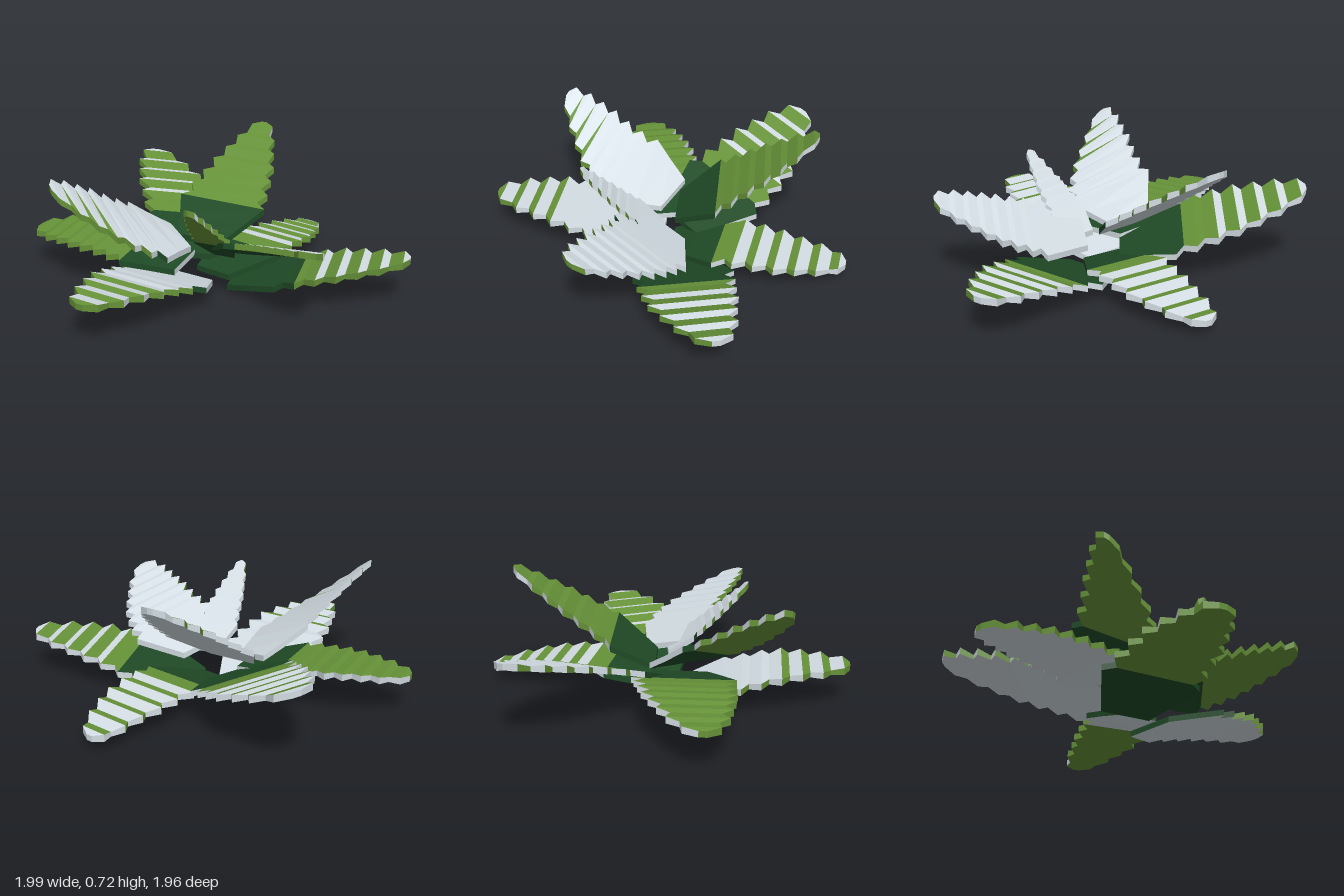
import * as THREE from 'three';

const leafGreen = new THREE.MeshStandardMaterial({ color: 0x669238 });
leafGreen.name = 'leaf green';
const deepGreen = new THREE.MeshStandardMaterial({ color: 0x1f4a26 });
deepGreen.name = 'deep green base';
const paleBack = new THREE.MeshStandardMaterial({ color: 0xd3dde3 });
paleBack.name = 'pale back';
const MATERIALS = [leafGreen, deepGreen, paleBack];

const HALF_THICK = 0.016;
const TOOTH_DEPTH = 0.22; // share of the leaf's half width

// Width along a leaf: narrow foot, broad shoulder, tapering tip
const PROFILE = [[0, 0.5], [0.3, 1], [0.62, 0.86], [0.9, 0.52], [1, 0.36]];
function widthAt(t) {
  const i = Math.max(1, PROFILE.findIndex(([b]) => t <= b));
  const [a, wa] = PROFILE[i - 1], [b, wb] = PROFILE[i];
  return wa + (wb - wa) * (t - a) / (b - a);
}

// Saw-toothed leaf along a curved spine, corrugated above and smooth below.
// Faces turned to +z are green (deep green at the foot), the others pale.
function makeLeaf({ name, spine, width, roll = 0, twist = 0, taper = 0, teeth = 6, ripple = 0.006, bite = 0.38, dark = 0.33 }) {
  const curve = new THREE.CatmullRomCurve3(spine.map(p => new THREE.Vector3(...p)));
  const dir = curve.getPoint(1).sub(curve.getPoint(0)).setY(0).normalize();

  // Smooth foot, then a point and a notch for each tooth, then a blunt tip
  const stations = [[0, widthAt(0), 0], [0.15, widthAt(0.15), 0]];
  const start = 0.3, step = (0.96 - start) / teeth;
  for (let i = 0; i < teeth; i++) {
    const t = start + i * step;
    const r = ripple * Math.min(1, i / 3);
    stations.push([t, widthAt(t), r]);
    stations.push([t + step * bite, widthAt(t) - TOOTH_DEPTH, -r]);
  }
  stations.push([0.965, 0.34, ripple], [1, 0.08, 0]);

  const rings = stations.map(([t, w, lift]) => {
    const c = curve.getPointAt(t);
    const side = new THREE.Vector3(dir.z, roll + twist * t, -dir.x);
    const reach = w * width * (1 - taper * Math.max(0, t - 0.3));
    const corner = (s, h) => {
      const p = c.clone().addScaledVector(side, s * reach);
      p.y += h;
      return p;
    };
    return {
      t, L: corner(1, HALF_THICK + lift), R: corner(-1, HALF_THICK + lift),
      l: corner(1, -HALF_THICK), r: corner(-1, -HALF_THICK),
    };
  });

  const lists = [[], [], []];
  const normal = new THREE.Vector3();
  const tri = (a, b, c, t) => {
    normal.subVectors(b, a).cross(c.clone().sub(a));
    const slot = normal.z <= 0 ? 2 : t < dark ? 1 : 0;
    for (const p of [a, b, c]) lists[slot].push(p.x, p.y, p.z);
  };
  const quad = (a, b, c, d, t) => { tri(a, b, c, t); tri(a, c, d, t); };
  for (let i = 1; i < rings.length; i++) {
    const p = rings[i - 1], q = rings[i], t = (p.t + q.t) / 2;
    quad(p.L, p.R, q.R, q.L, t);
    quad(p.r, p.l, q.l, q.r, t);
    quad(p.L, q.L, q.l, p.l, t);
    quad(q.R, p.R, p.r, q.r, t);
  }
  const a = rings[0], z = rings[rings.length - 1];
  quad(a.R, a.L, a.l, a.r, 0);
  quad(z.L, z.R, z.r, z.l, 1);

  const geometry = new THREE.BufferGeometry();
  geometry.setAttribute('position', new THREE.Float32BufferAttribute(lists.flat(), 3));
  let offset = 0;
  lists.forEach((list, i) => {
    geometry.addGroup(offset, list.length / 3, i);
    offset += list.length / 3;
  });
  geometry.computeVertexNormals();
  const mesh = new THREE.Mesh(geometry, MATERIALS);
  mesh.name = name;
  return mesh;
}

// Spine points run from the foot to the tip; roll and twist lift one long edge
const LEAVES = [
  { name: 'frontLowLeaf', width: 0.28, taper: 0.1,
    spine: [[-0.1, 0.03, 0.04], [-0.09, 0.13, 0.35], [-0.08, 0.2, 0.65], [-0.08, 0.215, 0.98]] },
  { name: 'backLowLeaf', width: 0.22, bite: 0.6,
    spine: [[0, 0.06, -0.02], [0.07, 0.14, -0.35], [0.1, 0.12, -0.68], [0.08, 0.075, -0.98]] },
  { name: 'leftLowLeaf', width: 0.27, roll: -0.05, twist: 0.025, dark: 0.38,
    spine: [[0.1, 0.03, -0.07], [0.4, 0.115, -0.16], [0.68, 0.185, -0.25], [0.99, 0.235, -0.4]] },
  { name: 'rightLowLeaf', width: 0.27, roll: -0.07, ripple: 0.004, teeth: 7, dark: 0.3,
    spine: [[-0.1, 0.14, 0.1], [-0.4, 0.21, 0.14], [-0.68, 0.23, 0.2], [-0.99, 0.21, 0.28]] },
  { name: 'backRightLeaf', width: 0.27, roll: 0.19, dark: 0.36,
    spine: [[-0.1, 0.12, -0.06], [-0.45, 0.29, -0.38], [-0.88, 0.45, -0.67]] },
  { name: 'backTallLeaf', width: 0.27, ripple: 0.004, taper: 0.4, dark: 0.3,
    spine: [[-0.1, 0.22, -0.04], [-0.11, 0.46, -0.4], [-0.15, 0.71, -0.78]] },
  { name: 'frontLeftLeaf', width: 0.23, roll: -0.3, ripple: 0.003, taper: 0.15, teeth: 7,
    spine: [[0.11, 0.22, -0.02], [0.45, 0.32, 0.07], [0.81, 0.46, 0.33]] },
  { name: 'frontRightLeaf', width: 0.23, roll: -0.25, twist: -0.4, ripple: 0.003, taper: 0.4,
    spine: [[-0.2, 0.23, 0.0], [-0.28, 0.37, 0.32], [-0.52, 0.63, 0.67]] },
  { name: 'frontSmallLeaf', width: 0.12, ripple: 0.003, taper: 0.4,
    spine: [[0.09, 0.2, 0.0], [0.13, 0.37, 0.21], [0.16, 0.57, 0.43]] },
];

export function createModel() {
  const plant = new THREE.Group();
  plant.name = 'leafyPlant';
  for (const leaf of LEAVES) plant.add(makeLeaf(leaf));
  return plant;
}
